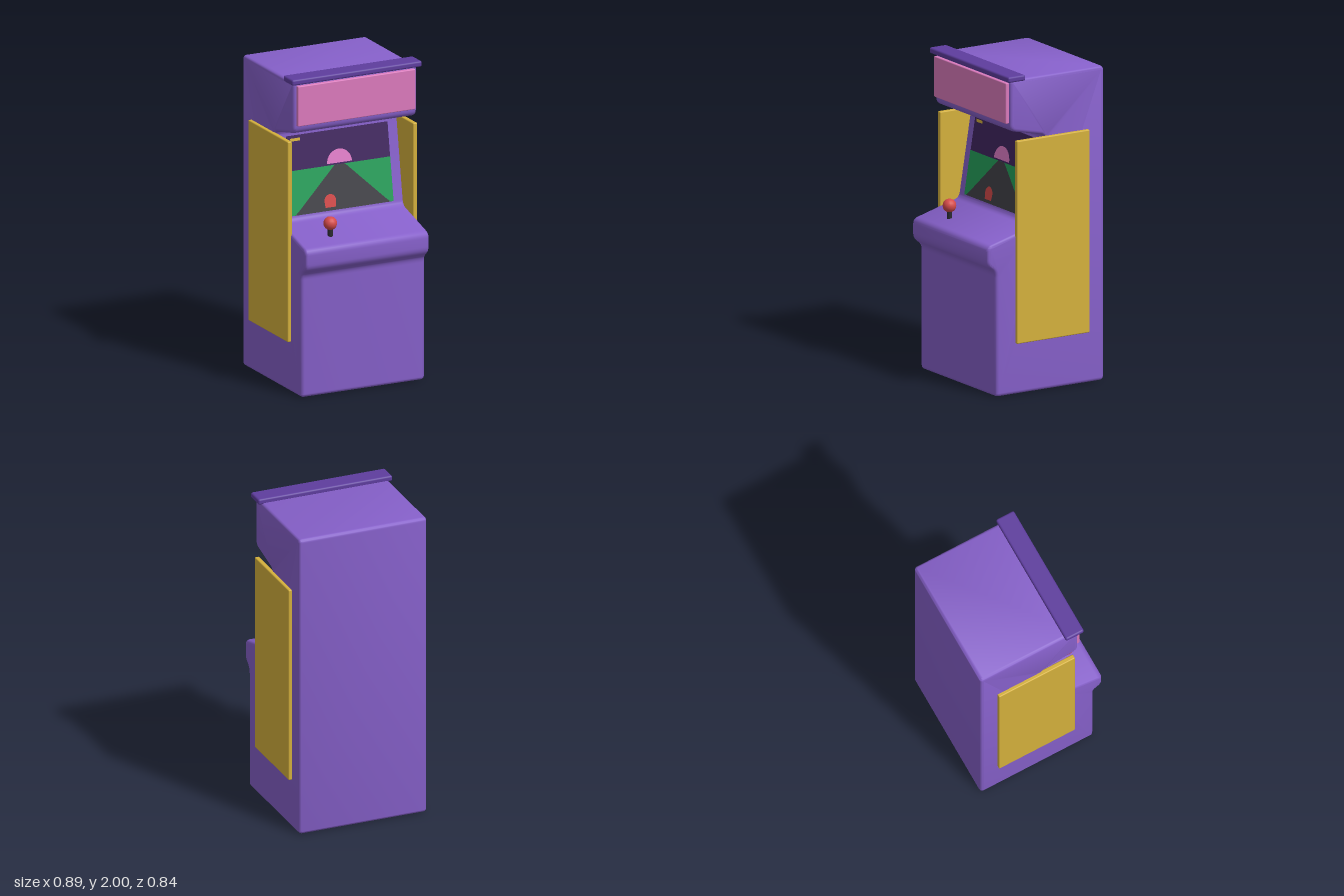
import * as THREE from 'three';
import { toCreasedNormals } from 'three/addons/utils/BufferGeometryUtils.js';
import { RoundedBoxGeometry } from 'three/addons/geometries/RoundedBoxGeometry.js';

const material = (name, color, side = THREE.FrontSide) => {
  const m = new THREE.MeshStandardMaterial({ color, side });
  m.name = name;
  return m;
};

// Closed outline whose corners [x, y, radius] are rounded
function roundedOutline(corners) {
  const shape = new THREE.Shape();
  const n = corners.length;
  corners.forEach(([x, y, r], i) => {
    const p = new THREE.Vector2(x, y);
    const toward = ([qx, qy]) =>
      new THREE.Vector2(qx, qy).sub(p).normalize().multiplyScalar(r).add(p);
    const a = toward(corners[(i + n - 1) % n]);
    const b = toward(corners[(i + 1) % n]);
    if (i === 0) shape.moveTo(a.x, a.y);
    else shape.lineTo(a.x, a.y);
    shape.quadraticCurveTo(x, y, b.x, b.y);
  });
  shape.closePath();
  return shape;
}

export function createModel() {
  const mats = {
    body: material('cabinet purple', 0x8660ca),
    trim: material('dark purple', 0x5e3d9e),
    pink: material('marquee pink', 0xdb7abd),
    gold: material('panel gold', 0xd4b03c),
    red: material('red', 0xd64a4a),
    black: material('stick black', 0x2a2a30),
    sky: material('sky purple', 0x40245f),
    green: material('grass green', 0x25a05a),
    road: material('road grey', 0x424248),
    sun: material('sun pink', 0xe07cc8),
  };

  const model = new THREE.Group();
  model.name = 'arcadeCabinet';
  const add = (name, geometry, mat, x = 0, y = 0, z = 0, parent = model) => {
    const mesh = new THREE.Mesh(geometry, mat);
    mesh.name = name;
    mesh.position.set(x, y, z);
    parent.add(mesh);
    return mesh;
  };

  // Cabinet: side profile as (z, y), extruded across x with a soft bevel
  const profile = roundedOutline([
    [-0.422, 0.004, 0.025], [0.36, 0.004, 0.025],
    [0.36, 0.785, 0.035], [0.422, 0.83, 0.035],
    [0.422, 0.953, 0.035], [0.09, 1.043, 0.03],
    [0.0, 1.595, 0.03], [0.255, 1.652, 0.04],
    [0.255, 1.972, 0.025], [-0.422, 1.972, 0.025],
  ]);
  const bevel = 0.022;
  const width = 0.844;
  const cabinet = new THREE.ExtrudeGeometry(profile, {
    depth: width - 2 * bevel, bevelEnabled: true, bevelSize: bevel,
    bevelThickness: bevel, bevelOffset: -bevel, bevelSegments: 4, curveSegments: 6,
  });
  cabinet.translate(0, 0, bevel - width / 2);
  cabinet.rotateY(-Math.PI / 2);
  add('cabinet', toCreasedNormals(cabinet, 0.7), mats.body);

  // Side panels
  for (const side of [-1, 1]) {
    add(side > 0 ? 'leftSidePanel' : 'rightSidePanel',
      new RoundedBoxGeometry(0.03, 1.27, 0.526, 2, 0.007), mats.gold,
      side * 0.428, 0.957, -0.042);
  }

  // Marquee and the rail above it
  add('marquee', new RoundedBoxGeometry(0.802, 0.255, 0.03, 2, 0.006), mats.pink, 0, 1.825, 0.261);
  add('topRail', new RoundedBoxGeometry(0.886, 0.037, 0.124, 3, 0.012), mats.trim, 0, 1.9815, 0.221);

  // Joystick
  const joystick = new THREE.Group();
  joystick.name = 'joystick';
  joystick.position.set(-0.193, 0, 0.298);
  model.add(joystick);
  add('stick', new THREE.CylinderGeometry(0.016, 0.016, 0.08, 12), mats.black, 0, 1.015, 0, joystick);
  add('knob', new THREE.SphereGeometry(0.042, 16, 12), mats.red, 0, 1.065, 0, joystick);

  // Screen: flat layers on the leaning face
  const screen = new THREE.Group();
  screen.name = 'screen';
  screen.position.set(0, 1.315, 0.046);
  screen.rotation.x = -Math.atan(0.09 / 0.552);
  model.add(screen);
  const layer = (name, points, mat, depth) => {
    const shape = new THREE.Shape(points.map(([x, y]) => new THREE.Vector2(x, y)));
    add(name, new THREE.ShapeGeometry(shape), mat, 0, 0, depth, screen);
  };
  const rect = (x0, y0, x1, y1) => [[x0, y0], [x1, y0], [x1, y1], [x0, y1]];
  const arc = (cx, cy, rx, ry, span, count) => Array.from({ length: count + 1 }, (_, i) => {
    const a = (span * i) / count;
    return [cx + rx * Math.cos(a), cy + ry * Math.sin(a)];
  });

  add('screenSky', new THREE.BoxGeometry(0.692, 0.49, 0.008), mats.sky, 0, 0, 0, screen);
  layer('screenGrass', rect(-0.346, -0.245, 0.346, 0.03), mats.green, 0.006);
  layer('screenRoad', [[-0.325, -0.245], [0.325, -0.245], [0.29, -0.215],
    [0.035, 0.03], [-0.035, 0.03], [-0.29, -0.215]], mats.road, 0.008);
  layer('screenSun', arc(0, 0.04, 0.085, 0.085, Math.PI, 16), mats.sun, 0.008);
  layer('screenCar', arc(-0.083, -0.185, 0.04, 0.042, Math.PI, 10)
    .concat([[-0.118, -0.225], [-0.048, -0.225]]), mats.red, 0.01);
  layer('screenBar', rect(-0.322, 0.21, -0.256, 0.228), mats.gold, 0.008);

  return model;
}
